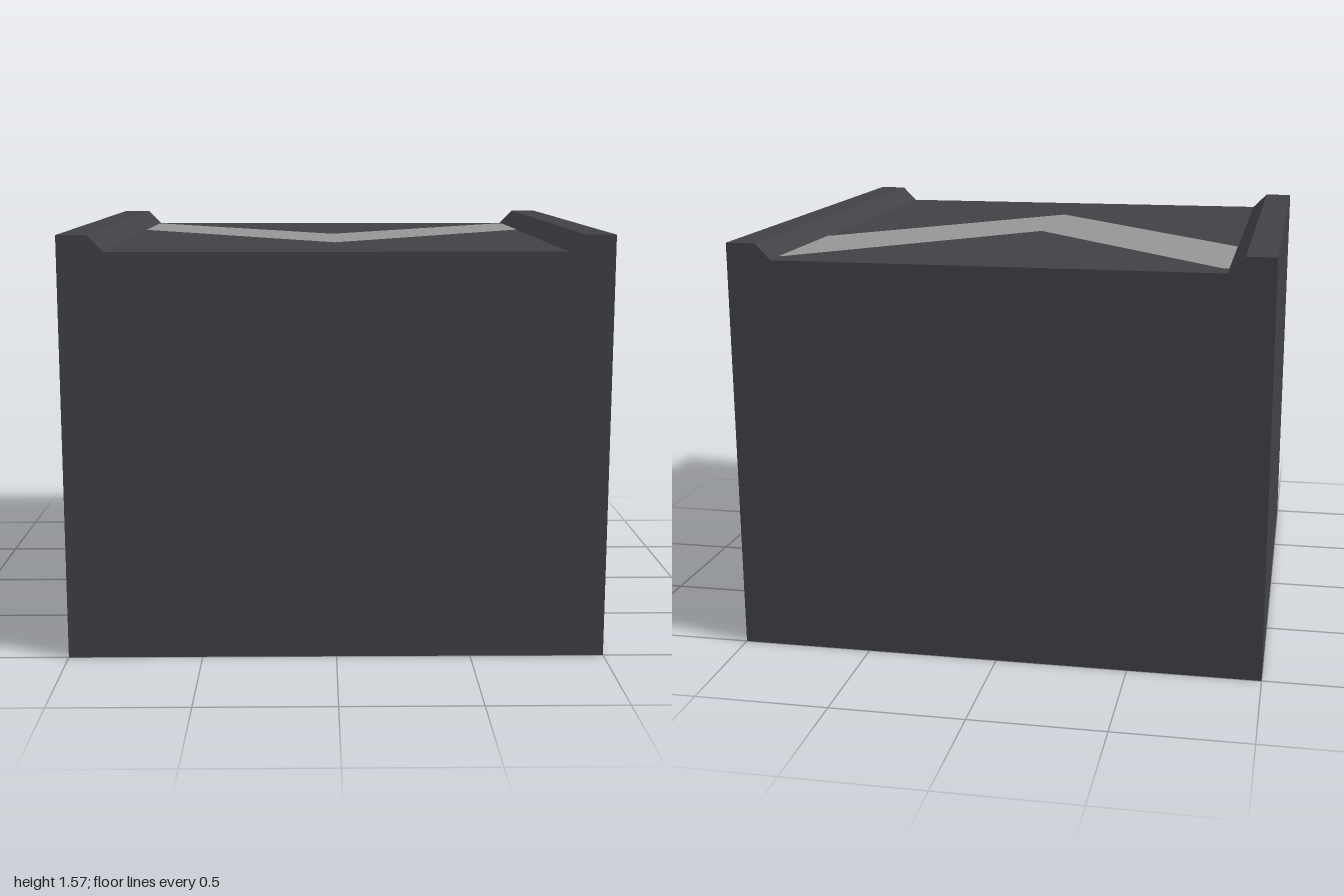
import * as THREE from 'three';

const dark = new THREE.MeshStandardMaterial({ name: 'charcoal', color: 0x424146, side: THREE.DoubleSide });
const grey = new THREE.MeshStandardMaterial({ name: 'markingGrey', color: 0x969696, side: THREE.DoubleSide });

const FLOOR = 1.51;
// Cross-section seen from the front: raised rails along both sides, open underneath
const profile = [
  [-1, 0], [-1, 1.57], [-0.89, 1.57], [-0.83, FLOOR],
  [0.83, FLOOR], [0.89, 1.57], [1, 1.57], [1, 0],
];

function toShape(points) {
  return new THREE.Shape(points.map(([x, y]) => new THREE.Vector2(x, y)));
}

// One flat panel swept from front to back for each profile segment
function sweepPanels(points) {
  const pos = [];
  for (let i = 0; i < points.length - 1; i++) {
    const [px, py] = points[i], [qx, qy] = points[i + 1];
    const a = [px, py, 1], b = [px, py, -1], c = [qx, qy, 1], d = [qx, qy, -1];
    pos.push(...a, ...c, ...d, ...a, ...d, ...b);
  }
  const geo = new THREE.BufferGeometry();
  geo.setAttribute('position', new THREE.Float32BufferAttribute(pos, 3));
  geo.computeVertexNormals();
  return geo;
}

export function createModel() {
  const model = new THREE.Group();
  model.name = 'directionBlock';
  const add = (name, geo, mat) => {
    const mesh = new THREE.Mesh(geo, mat);
    mesh.name = name;
    model.add(mesh);
    return mesh;
  };

  // Sides, rails and top surface
  add('sidesAndTop', sweepPanels(profile), dark);

  // End walls
  add('frontWall', new THREE.ShapeGeometry(toShape(profile)).translate(0, 0, 1), dark);
  add('backWall', new THREE.ShapeGeometry(toShape(profile)).rotateY(Math.PI).translate(0, 0, -1), dark);

  // Chevron marking pointing to the front, drawn as (x, -z)
  const chevron = toShape([
    [0, -0.52], [0.82, 0.35], [0.83, 0.35], [0.83, 0.91], [0.81, 0.91],
    [0, 0.05], [-0.81, 0.91], [-0.83, 0.91], [-0.83, 0.36],
  ]);
  add('chevronMarking', new THREE.ShapeGeometry(chevron).rotateX(-Math.PI / 2), grey)
    .position.y = FLOOR + 0.003;

  return model;
}
